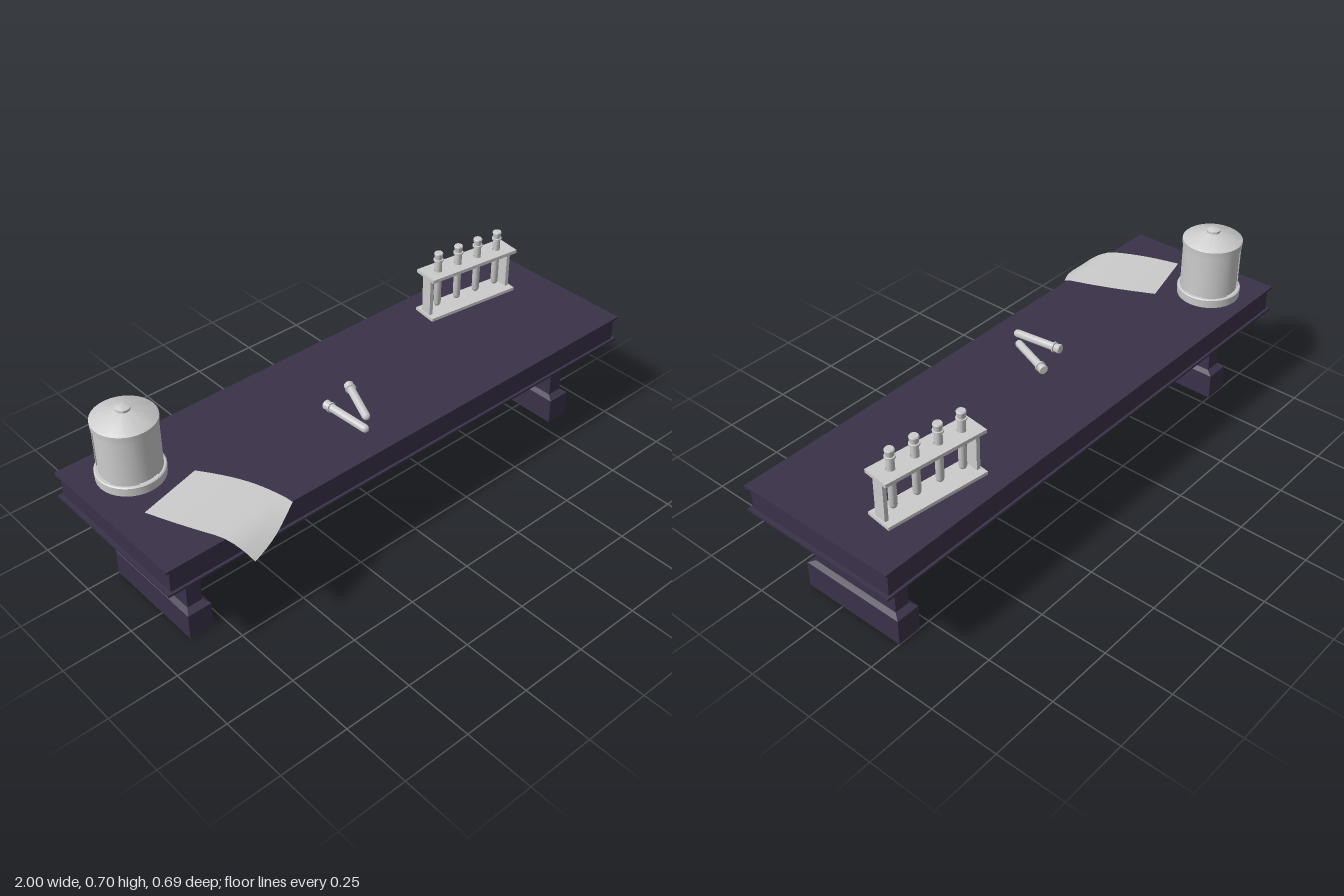
import * as THREE from 'three';
import { toCreasedNormals } from 'three/addons/utils/BufferGeometryUtils.js';

export function createModel() {
  const model = new THREE.Group();
  const wood = new THREE.MeshStandardMaterial({ color: 0x3a3148 });
  wood.name = 'darkPurpleWood';
  const pale = new THREE.MeshStandardMaterial({ color: 0xcccccc });
  pale.name = 'paleGrey';
  const sheetMat = new THREE.MeshStandardMaterial({ color: 0xcccccc, side: THREE.DoubleSide });
  sheetMat.name = 'paleGreySheet';

  const add = (parent, name, geo, mat, x = 0, y = 0, z = 0) => {
    const m = new THREE.Mesh(geo, mat);
    m.name = name;
    m.position.set(x, y, z);
    parent.add(m);
    return m;
  };
  const group = (parent, name, x = 0, y = 0, z = 0) => {
    const g = new THREE.Group();
    g.name = name;
    g.position.set(x, y, z);
    parent.add(g);
    return g;
  };
  const lathe = (pts, seg) => toCreasedNormals(
    new THREE.LatheGeometry(pts.map(p => new THREE.Vector2(...p)), seg), 0.6);

  // Box whose top face is scaled by sx, sz
  const taperedBox = (w, h, d, sx, sz) => {
    const g = new THREE.BoxGeometry(w, h, d);
    const p = g.attributes.position;
    for (let i = 0; i < p.count; i++) {
      if (p.getY(i) > 0) p.setXYZ(i, p.getX(i) * sx, p.getY(i), p.getZ(i) * sz);
    }
    g.computeVertexNormals();
    return g;
  };

  // Table top: body between two thin overhanging plates
  const table = group(model, 'table', 0, 0, -0.046);
  add(table, 'tableBody', new THREE.BoxGeometry(1.97, 0.088, 0.583), wood, 0, 0.385, 0);
  add(table, 'topPlate', new THREE.BoxGeometry(2, 0.008, 0.602), wood, 0, 0.431, 0);
  add(table, 'bottomPlate', new THREE.BoxGeometry(2, 0.008, 0.602), wood, 0, 0.339, 0);

  // Slab legs with a capital and a stepped foot
  for (const s of [-1, 1]) {
    const leg = group(table, s > 0 ? 'leftLeg' : 'rightLeg', s * 0.835, 0, -0.003);
    add(leg, 'foot', new THREE.BoxGeometry(0.09, 0.097, 0.402), wood, 0, 0.0485, 0);
    add(leg, 'footBevel', taperedBox(0.09, 0.012, 0.402, 0.64, 0.88), wood, 0, 0.103, 0);
    add(leg, 'shaft', new THREE.BoxGeometry(0.056, 0.16, 0.354), wood, 0, 0.18, 0);
    add(leg, 'capital', taperedBox(0.12, 0.085, 0.371, 0.99, 0.98), wood, 0, 0.293, 0);
    add(leg, 'capitalStep', new THREE.BoxGeometry(0.112, 0.01, 0.362), wood, 0, 0.247, 0);
  }

  // Lidded jar
  const jar = group(model, 'jar', -0.82, 0.435, -0.185);
  add(jar, 'jarBase', lathe([[0, 0], [0.113, 0], [0.114, 0.03], [0.11, 0.033], [0.09, 0.033]], 32), pale);
  add(jar, 'jarBody', lathe([[0.1, 0.03], [0.1, 0.205]], 32), pale);
  add(jar, 'jarLid', lathe([[0.09, 0.2], [0.106, 0.2], [0.107, 0.222], [0.1, 0.227],
    [0.028, 0.25], [0.024, 0.251], [0.024, 0.259], [0.015, 0.264], [0, 0.264]], 32), pale);
  for (let i = 0; i < 4; i++) {
    const a = i * Math.PI / 2 + 0.35;
    add(jar, 'jarPanel', new THREE.CylinderGeometry(0.104, 0.104, 0.17, 8, 1, true, a, 0.9),
      sheetMat, 0, 0.117, 0);
  }

  // Stoppered glass tube: rounded bottom, rolled lip, tapered cork
  const tubeGeo = lathe([[0, 0], [0.006, 0.002], [0.011, 0.007], [0.0135, 0.015],
    [0.0135, 0.189], [0.018, 0.19], [0.018, 0.196], [0.0135, 0.197]], 16);
  const corkGeo = lathe([[0.0125, 0.19], [0.0165, 0.218], [0.014, 0.222], [0, 0.222]], 16);
  const addTube = (parent, name, x, y, z) => {
    const t = group(parent, name, x, y, z);
    add(t, 'tubeGlass', tubeGeo, pale);
    add(t, 'tubeStopper', corkGeo, pale);
    return t;
  };

  // Rack with four tubes
  const rack = group(model, 'tubeRack', 0.667, 0.435, -0.197);
  rack.rotation.y = -0.125;
  const holes = [-0.133, -0.044, 0.044, 0.133];
  const plate = new THREE.Shape();
  plate.moveTo(-0.19, -0.049).lineTo(0.19, -0.049).lineTo(0.19, 0.049).lineTo(-0.19, 0.049).closePath();
  for (const x of holes) {
    const h = new THREE.Path();
    h.absarc(x, 0, 0.015, 0, Math.PI * 2, true);
    plate.holes.push(h);
  }
  const plateGeo = new THREE.ExtrudeGeometry(plate, { depth: 0.013, bevelEnabled: false, curveSegments: 10 });
  plateGeo.rotateX(-Math.PI / 2);
  add(rack, 'rackTop', plateGeo, pale, 0, 0.16, 0);
  add(rack, 'rackBase', new THREE.BoxGeometry(0.38, 0.012, 0.098), pale, 0, 0.006, 0);
  for (const s of [-1, 1]) {
    add(rack, 'rackPost', new THREE.BoxGeometry(0.014, 0.15, 0.045), pale, s * 0.176, 0.086, 0);
  }
  for (const x of holes) addTube(rack, 'rackTube', x, 0.025, 0);

  // Two tubes lying on the table, stoppers to the back
  for (const [x, z, x2, z2] of [[-0.14, 0.163, -0.15, 0.03], [-0.1, 0.115, -0.025, -0.065]]) {
    const t = addTube(model, 'looseTube', x, 0.451, z);
    t.scale.set(1.05, 0.88, 1.05);
    t.quaternion.setFromUnitVectors(new THREE.Vector3(0, 1, 0),
      new THREE.Vector3(x2 - x, 0.004, z2 - z).normalize());
  }

  // Sheet of paper bending over the front edge
  const sheet = new THREE.PlaneGeometry(1, 1, 8, 12);
  const p = sheet.attributes.position;
  for (let i = 0; i < p.count; i++) {
    const u = p.getX(i) + 0.5, v = 0.5 - p.getY(i);
    const wave = Math.sin(v * Math.PI);
    const x = -0.9 + 0.23 * u + v * (0.155 - 0.02 * u) - wave * (0.012 - 0.03 * u);
    const z = 0.005 - 0.06 * u + v * (0.335 - 0.02 * u) + 0.012 * v * Math.sin(u * Math.PI);
    const drop = Math.max(0, z - 0.23);
    p.setXYZ(i, x, 0.443 + 0.006 * wave - 5.2 * drop * drop, z);
  }
  sheet.computeVertexNormals();
  add(model, 'paperSheet', sheet, sheetMat);

  return model;
}
